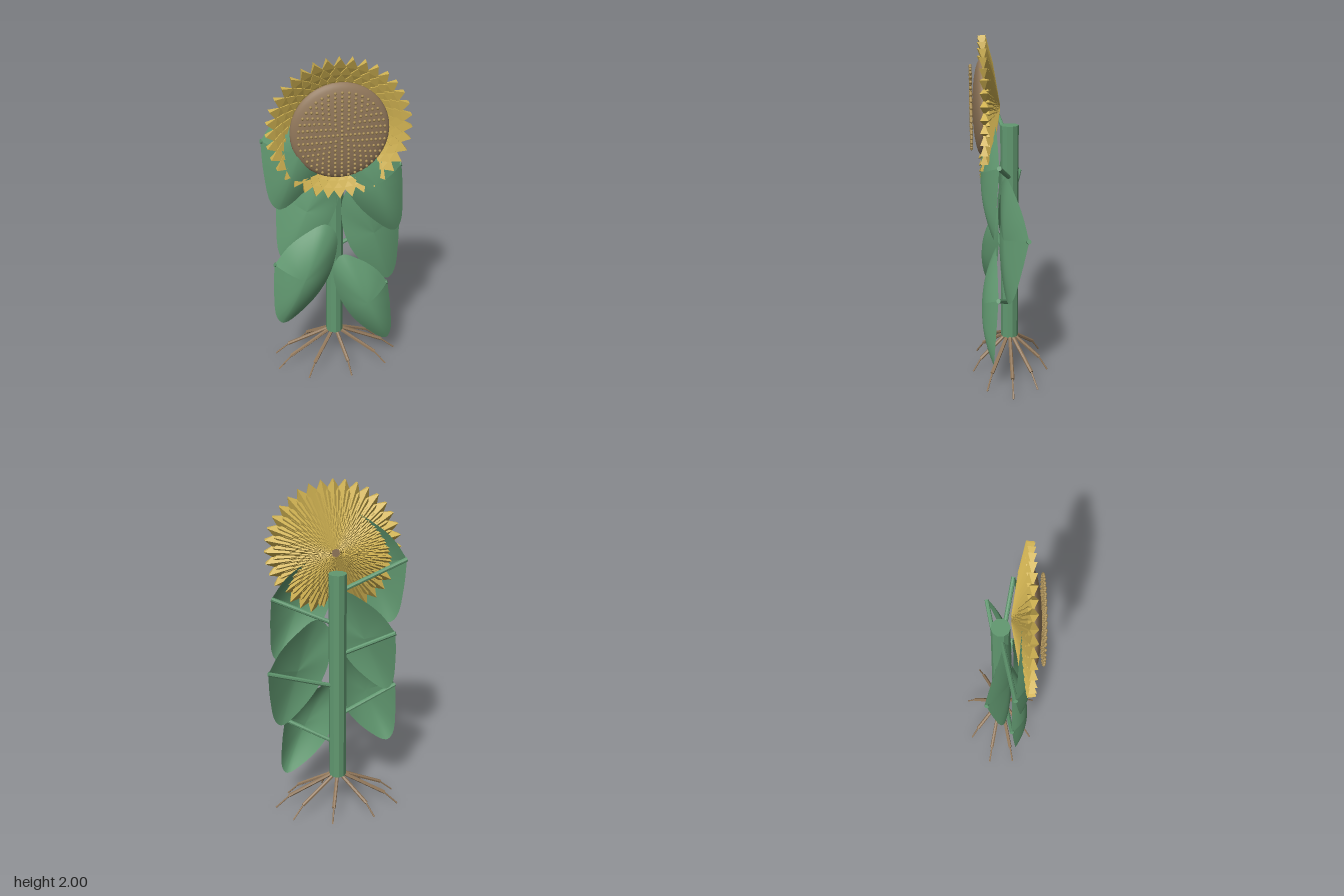
import * as THREE from 'three';
import { mergeGeometries } from 'three/addons/utils/BufferGeometryUtils.js';
import { ConvexGeometry } from 'three/addons/geometries/ConvexGeometry.js';

const V = (x, y, z) => new THREE.Vector3(x, y, z);
const mat = (name, color, side = THREE.FrontSide) => {
  const m = new THREE.MeshStandardMaterial({ color, side });
  m.name = name;
  return m;
};

// Flat-faced copy of a geometry
function flat(g) {
  const f = g.toNonIndexed();
  f.computeVertexNormals();
  return f;
}

// Straight rod between two points
function rod(a, b, r, sides) {
  const d = b.clone().sub(a);
  const g = flat(new THREE.CylinderGeometry(r, r, d.length(), sides));
  g.applyQuaternion(new THREE.Quaternion().setFromUnitVectors(V(0, 1, 0), d.normalize()));
  const m = a.clone().add(b).multiplyScalar(0.5);
  return g.translate(m.x, m.y, m.z);
}

// Cupped leaf hanging from its corner at the origin, growing away from side (+1 or -1)
const LEAF = [[0, 0], [0.006, -0.18], [-0.01, -0.36], [-0.05, -0.4], [-0.18, -0.31], [-0.3, -0.16],
  [-0.365, 0.02], [-0.365, 0.18], [-0.3, 0.245], [-0.18, 0.19], [-0.08, 0.11], [0, 0]];
function leafGeometry(side, width, roll, slope, drop, bulge) {
  const rim = new THREE.CatmullRomCurve3(LEAF.map(([x, y]) =>
    V(x * width, y, slope * -x / 0.37 + drop * Math.max(0, -y / 0.4)))).getPoints(44);
  const centre = V(-0.17 * width, -0.07, slope * 0.46 + drop * 0.3), rings = 8, n = rim.length;
  const pos = [], idx = [];
  for (let i = 0; i <= rings; i++) {
    const t = i / rings;
    for (const p of rim) {
      const q = centre.clone().lerp(p, t);
      pos.push(q.x * side, q.y, q.z + bulge * (1 - t * t));
    }
  }
  // The rim runs clockwise on the +x side, so the corner order flips with the side
  for (let i = 0; i < rings; i++) for (let j = 0; j < n - 1; j++) {
    const a = i * n + j, b = a + 1, c = a + n, d = c + 1;
    if (side > 0) idx.push(a, d, c, a, b, d);
    else idx.push(a, c, d, a, d, b);
  }
  const g = new THREE.BufferGeometry();
  g.setAttribute('position', new THREE.Float32BufferAttribute(pos, 3));
  g.setIndex(idx);
  g.computeVertexNormals();
  return g.rotateZ(roll * side);
}

export function createModel() {
  const root = new THREE.Group();
  root.name = 'sunflower';
  const green = mat('green', 0x619870);
  const leafGreen = mat('leafGreen', 0x619870, THREE.DoubleSide);
  const yellow = mat('yellow', 0xd0b252);
  const brown = mat('brown', 0x92785b);
  const seedBrown = mat('seedBrown', 0xab9058);
  const add = (name, g, m, parent = root) => {
    const mesh = new THREE.Mesh(g, m);
    mesh.name = name;
    parent.add(mesh);
    return mesh;
  };

  // Stem
  add('stem', rod(V(0, 0.215, 0), V(0, 1.51, 0), 0.052, 10), green);

  // Roots: nine two-part rods on an oval
  const roots = [];
  for (let i = 0; i < 9; i++) {
    const a = i * Math.PI * 2 / 9;
    const at = (rx, rz, y) => V(rx * Math.cos(a), y, rz * Math.sin(a));
    roots.push(rod(at(0.02, 0.015, 0.225), at(0.305, 0.18, 0.083), 0.011, 6));
    roots.push(rod(at(0.295, 0.175, 0.09), at(0.39, 0.229, 0.004), 0.005, 6));
  }
  add('roots', mergeGeometries(roots), brown);

  // Leaves: corner position, width factor, roll, inward slope, forward drop, cup depth
  const leaves = [
    [0.31, 0.58, 0.08, 0.86, 0.09, 0.0, 0.03, 0.08],
    [-0.365, 0.77, 0.065, 0.98, 0.03, 0.0, 0.03, 0.085],
    [0.41, 0.965, -0.08, 1.04, -0.08, 0.13, 0.09, 0.04],
    [-0.32, 1.165, -0.08, 0.92, 0.05, 0.13, 0.09, 0.04],
    [0.365, 1.355, 0.075, 0.97, 0.03, 0.02, 0.03, 0.075],
    [-0.41, 1.55, 0.07, 1.1, -0.08, 0.04, 0.04, 0.065],
  ];
  for (const [x, y, z, ...shape] of leaves) {
    const leaf = new THREE.Group();
    leaf.name = 'leaf';
    root.add(leaf);
    add('leafStalk', rod(V(0, y - 0.15, 0), V(x, y, z), 0.013, 8), green, leaf);
    add('leafBlade', leafGeometry(Math.sign(x), ...shape), leafGreen, leaf).position.set(x, y, z);
  }

  // Flower head
  const head = new THREE.Group();
  head.name = 'flowerHead';
  head.position.set(0, 1.61, 0);
  root.add(head);

  // Petals: ridged wedges in rings that shrink and twist towards the back centre
  const petal = new ConvexGeometry([V(0, 0.235, 0.038), V(-0.037, 0.335, 0.098),
    V(0.037, 0.335, 0.098), V(0, 0.392, 0.08), V(0, 0.388, 0.122)]);
  const petals = [], perRing = 36;
  for (let k = 0; k < 20; k++) {
    const s = Math.pow(0.88, k);
    for (let j = 0; j < perRing; j++) {
      petals.push(petal.clone().scale(s, s, s)
        .rotateZ((j + k * 0.4) / perRing * Math.PI * 2).translate(0, 0, 0.05));
    }
  }
  add('petals', mergeGeometries(petals), yellow, head);

  // Domed centre
  const disc = new THREE.SphereGeometry(0.265, 40, 20);
  disc.rotateX(Math.PI / 2).scale(1, 1, 0.19);
  add('centreDisc', disc, brown, head).position.z = 0.155;

  // Seeds in rings just in front of the disc
  const seeds = [];
  for (let k = 0; k <= 10; k++) {
    const count = k ? 4 * k : 1;
    for (let j = 0; j < count; j++) {
      const a = j / count * Math.PI * 2, r = 0.0228 * k;
      seeds.push(new THREE.SphereGeometry(0.008, 8, 6)
        .translate(r * Math.cos(a), r * Math.sin(a), 0.214));
    }
  }
  add('seeds', mergeGeometries(seeds), seedBrown, head);

  return root;
}
